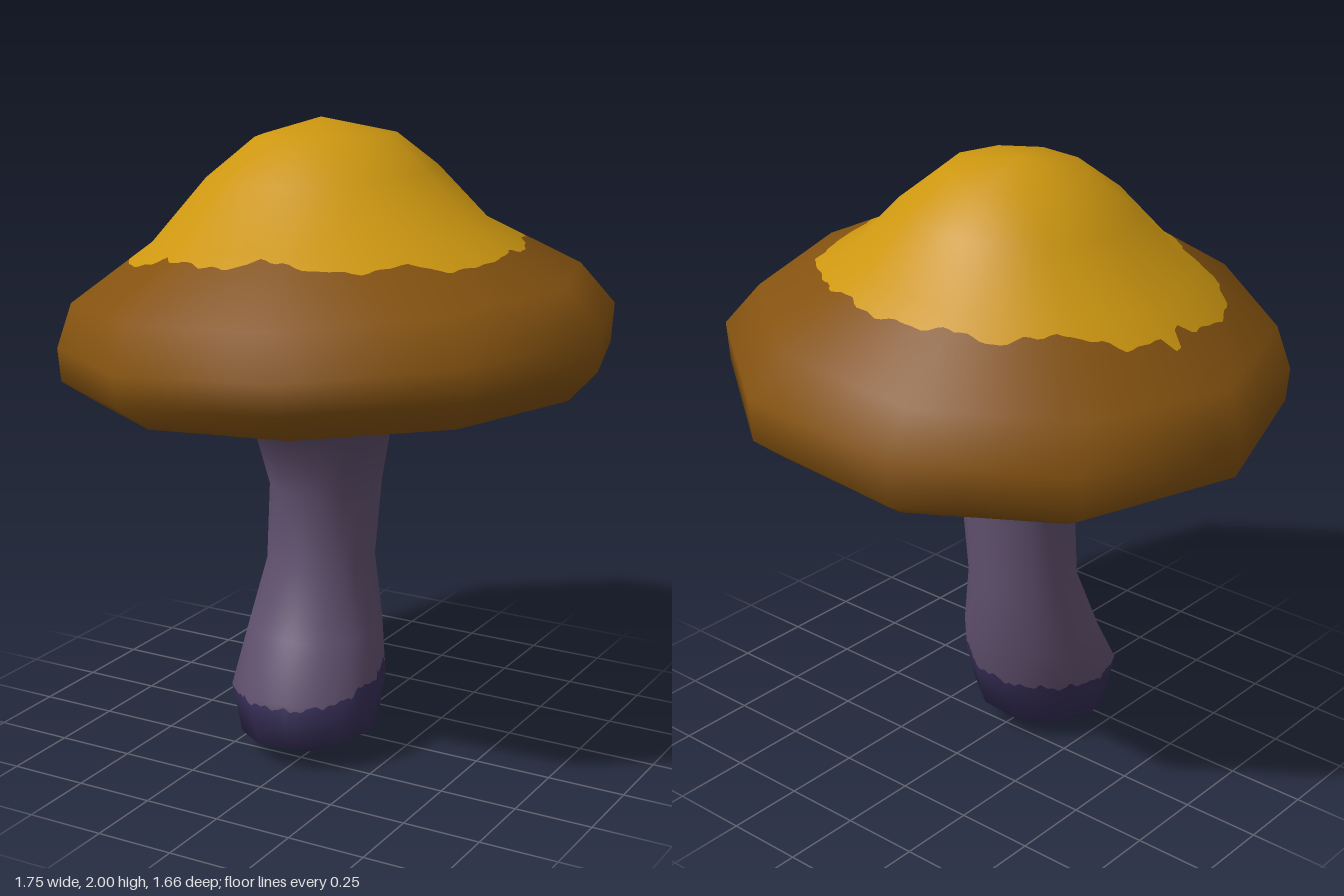
import * as THREE from 'three';

const SIDES = 10, COLS = 180;

// Rings from cap tip to stem foot: [centre x, y, z, radius, tilt along x, tilt along z]
const RINGS = [
  [-0.10, 2.00, -0.06, 0, 0, 0],
  [-0.07, 1.95, -0.04, 0.22, 0.045, 0.03],
  [-0.07, 1.84, -0.02, 0.36, 0.055, 0.01],
  [-0.06, 1.665, 0.01, 0.52, 0.07, 0],
  [-0.03, 1.50, 0.015, 0.795, 0.075, 0.005],
  [0, 1.365, 0, 0.875, 0.075, 0.005],
  [0, 1.25, 0, 0.866, 0.08, 0.03],
  [0.01, 1.17, 0, 0.765, 0.066, 0.025],
  [0, 1.14, 0, 0.565, 0.07, 0.02],
  [0, 1.145, 0.01, 0.42, 0.05, 0.02],
  [-0.04, 1.06, 0.035, 0.222, 0.02, 0],
  [-0.05, 0.85, 0, 0.18, 0, 0],
  [-0.065, 0.60, 0.005, 0.175, 0, 0],
  [-0.055, 0.39, 0.06, 0.218, 0, 0],
  [-0.035, 0.225, 0.137, 0.248, 0.03, 0],
  [-0.02, 0.08, 0.157, 0.22, 0.09, 0],
  [0, 0, 0.20, 0, 0, 0],
];
const LAST = RINGS.length - 1;

// Radius of the yellow patch, every 20 degrees from +x towards +z
const PATCH = [0.57, 0.585, 0.555, 0.56, 0.53, 0.58, 0.58, 0.65, 0.68,
  0.64, 0.63, 0.575, 0.58, 0.56, 0.56, 0.55, 0.575, 0.57];

const wobble = a => 0.5 * Math.sin(17 * a) + 0.3 * Math.sin(29 * a + 1) + 0.3 * Math.sin(43 * a + 2);

// Coarse ten-sided skin whose smooth normals shade every part
function makeSkin() {
  const pos = [], index = [];
  const id = (r, i) => r * SIDES + (RINGS[r][3] ? i % SIDES : 0);
  RINGS.forEach(([cx, cy, cz, rad, tx, tz]) => {
    for (let i = 0; i < SIDES; i++) {
      const a = i / SIDES * Math.PI * 2, x = rad * Math.cos(a), z = rad * Math.sin(a);
      pos.push(cx + x, cy + x * tx + z * tz, cz + z);
    }
  });
  for (let r = 0; r < LAST; r++) {
    for (let i = 0; i < SIDES; i++) {
      const a = id(r, i), b = id(r, i + 1), c = id(r + 1, i), d = id(r + 1, i + 1);
      if (a !== b) index.push(a, b, c);
      if (c !== d) index.push(b, d, c);
    }
  }
  const g = new THREE.BufferGeometry();
  g.setAttribute('position', new THREE.Float32BufferAttribute(pos, 3));
  g.setIndex(index);
  g.computeVertexNormals();

  // Point or normal at column fraction u (0..1) and ring position v
  return (name, u, v) => {
    const attr = g.attributes[name], r = Math.min(Math.floor(v), LAST - 1);
    const s = u * SIDES, i = Math.floor(s + 1e-6), f = s - i;
    const at = (rr, ii) => new THREE.Vector3().fromBufferAttribute(attr, id(rr, ii));
    return at(r, i).lerp(at(r, i + 1), f).lerp(at(r + 1, i).lerp(at(r + 1, i + 1), f), v - r);
  };
}

// One colour band of the skin, between two edges given as functions of u
function band(skin, top, bottom, from, to) {
  const pos = [], nor = [], index = [], w = COLS + 1;
  for (let k = from; k <= to; k++) {
    for (let c = 0; c <= COLS; c++) {
      const u = c / COLS, v = Math.min(Math.max(k, top(u)), bottom(u));
      pos.push(...skin('position', u, v).toArray());
      nor.push(...skin('normal', u, v).normalize().toArray());
    }
  }
  for (let k = 0; k < to - from; k++) {
    for (let c = 0; c < COLS; c++) {
      const a = k * w + c, b = a + w;
      index.push(a, a + 1, b, a + 1, b + 1, b);
    }
  }
  const g = new THREE.BufferGeometry();
  g.setAttribute('position', new THREE.Float32BufferAttribute(pos, 3));
  g.setAttribute('normal', new THREE.Float32BufferAttribute(nor, 3));
  g.setIndex(index);
  return g;
}

export function createModel() {
  const model = new THREE.Group();
  model.name = 'mushroom';
  const skin = makeSkin();

  // Ragged lower edge of the yellow patch
  const patchEdge = u => {
    const a = u * Math.PI * 2, s = u * PATCH.length, i = Math.floor(s);
    const spike = 0.06 * Math.exp(-(((a - 3.23) / 0.035) ** 2));
    const want = THREE.MathUtils.lerp(PATCH[i % PATCH.length], PATCH[(i + 1) % PATCH.length], s - i)
      + 0.012 * wobble(a) + spike;
    const radius = v => { const p = skin('position', u, v); return Math.hypot(p.x, p.z); };
    const r3 = radius(3), r4 = radius(4);
    return THREE.MathUtils.clamp(3 + (want - r3) / (r4 - r3), 3, 3.9);
  };
  // Ragged upper edge of the dark foot
  const footEdge = u => {
    const a = u * Math.PI * 2;
    return 14.02 + 0.1 * Math.sin(a) - 0.27 * Math.max(0, Math.cos(a + 0.3)) ** 2 + 0.07 * wobble(a);
  };
  const ring = k => () => k;

  const parts = [
    ['capTop', 'yellow', 0xcc9610, ring(0), patchEdge, 0, 4],
    ['capRim', 'brown', 0x845210, patchEdge, ring(7), 3, 7],
    ['capUnderside', 'greyBrown', 0x74605f, ring(7), ring(8), 7, 8],
    ['stem', 'purple', 0x60506e, ring(8), footEdge, 8, 15],
    ['stemFoot', 'darkPurple', 0x352d55, footEdge, ring(LAST), 13, LAST],
  ];
  for (const [name, colour, hex, top, bottom, from, to] of parts) {
    const material = new THREE.MeshStandardMaterial({ color: hex });
    material.name = colour;
    const mesh = new THREE.Mesh(band(skin, top, bottom, from, to), material);
    mesh.name = name;
    model.add(mesh);
  }
  return model;
}
